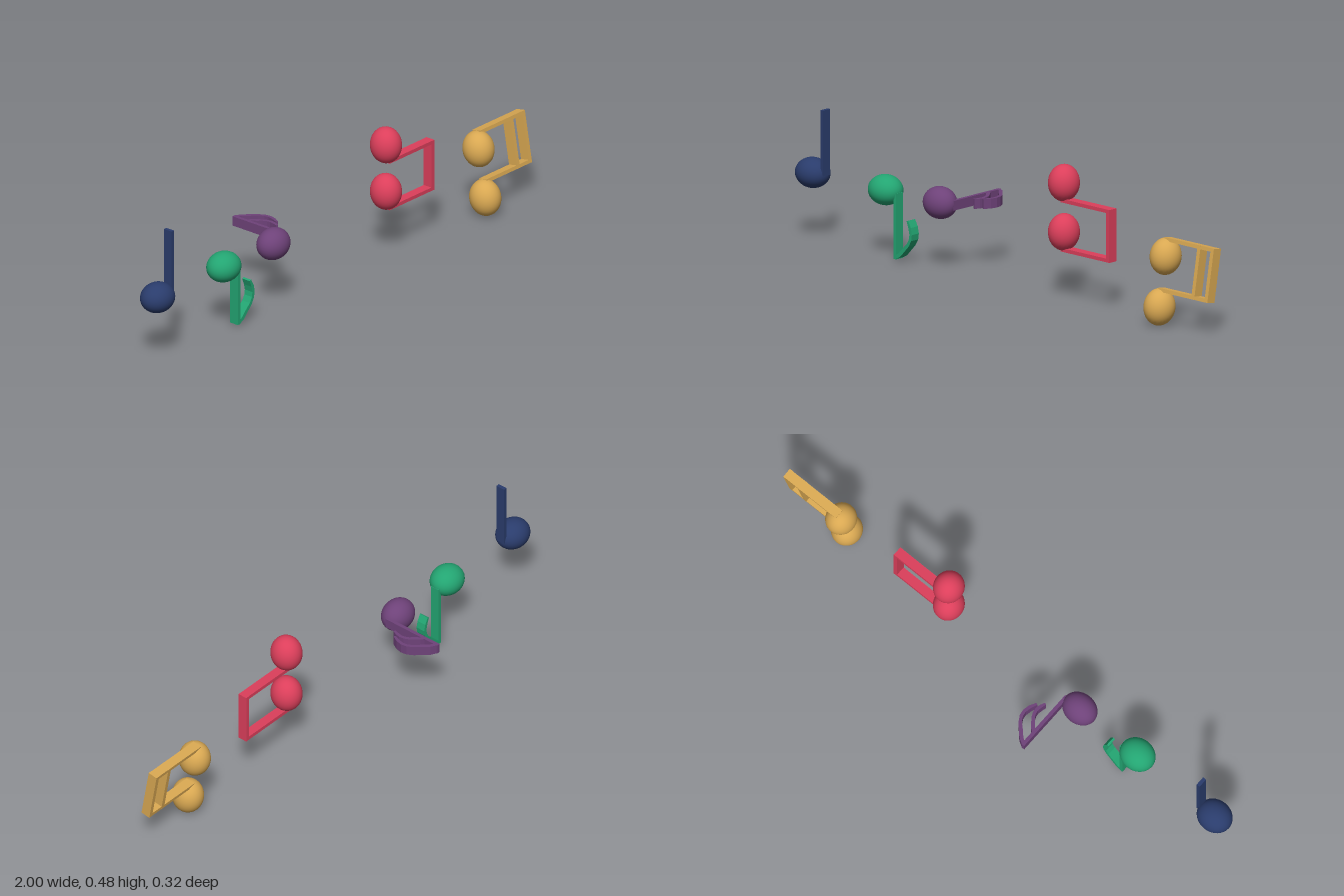
import * as THREE from 'three';

const HEAD = [0.066, 0.054, 0.0575]; // note head radii
const STEM_X = 0.0605, STEM_W = 0.013, TOP = 0.235, DEPTH = 0.035;

// flag centreline (x, y) and half width, from the stem tip to the free end
const FLAG = [
  [0.06, 0.23, 0.006], [0.082, 0.217, 0.007], [0.1, 0.198, 0.007], [0.122, 0.176, 0.006],
  [0.134, 0.155, 0.006], [0.137, 0.135, 0.006], [0.132, 0.112, 0.006], [0.121, 0.088, 0.004],
];

function add(parent, name, geometry, material, x = 0, y = 0, z = 0) {
  const mesh = new THREE.Mesh(geometry, material);
  mesh.name = name;
  mesh.position.set(x, y, z);
  parent.add(mesh);
  return mesh;
}

// head and stem, head centred on the origin of the note
function addNote(parent, material, x = 0) {
  add(parent, 'noteHead', new THREE.SphereGeometry(1, 32, 20).scale(...HEAD), material, x);
  add(parent, 'stem', new THREE.BoxGeometry(STEM_W, TOP, DEPTH), material, x + STEM_X, TOP / 2);
}

// curved ribbon hanging from the stem
function addFlag(parent, material, top, sx, sy) {
  const pts = FLAG.map(([x, y]) => new THREE.Vector2(STEM_X + (x - STEM_X) * sx, top + (y - TOP) * sy));
  const sides = [[], []];
  pts.forEach((p, i) => {
    const a = pts[Math.max(i - 1, 0)], b = pts[Math.min(i + 1, pts.length - 1)];
    const t = b.clone().sub(a).normalize();
    const n = new THREE.Vector2(-t.y, t.x).multiplyScalar(FLAG[i][2]);
    sides[0].push(p.clone().add(n));
    sides[1].push(p.clone().sub(n));
  });
  const shape = new THREE.Shape([...sides[0], ...sides[1].reverse()]);
  const geometry = new THREE.ExtrudeGeometry(shape, { depth: DEPTH, bevelEnabled: false });
  add(parent, 'flag', geometry.translate(0, 0, -DEPTH / 2), material);
}

// bar joining the stems of a pair
function addBeam(parent, material, gap, y) {
  add(parent, 'beam', new THREE.BoxGeometry(gap + STEM_W, 0.015, DEPTH + 0.001), material, STEM_X + gap / 2, y);
}

export function createModel() {
  const model = new THREE.Group();
  model.name = 'musicNotes';

  const mat = (name, color) => {
    const m = new THREE.MeshStandardMaterial({ color });
    m.name = name;
    return m;
  };
  const navy = mat('navy', 0x2a3c6c);
  const green = mat('green', 0x23a572);
  const purple = mat('purple', 0x6e4279);
  const red = mat('red', 0xdc3f5b);
  const gold = mat('gold', 0xd9a852);

  const note = (name, position, rotation) => {
    const g = new THREE.Group();
    g.name = name;
    g.position.set(...position);
    g.rotation.set(...rotation);
    model.add(g);
    return g;
  };

  // upright plain note
  const quarter = note('quarterNote', [-0.934, 0.243, 0.074], [0, 0, 0]);
  addNote(quarter, navy);

  // single flag, upside down
  const eighth = note('eighthNote', [-0.584, 0.243, 0.074], [Math.PI, 0, 0]);
  addNote(eighth, green);
  addFlag(eighth, green, TOP, 1, 1);

  // two flags, lying backwards
  const sixteenth = note('sixteenthNote', [-0.322, 0.243, 0.074], [-Math.PI / 2, 0, 0]);
  addNote(sixteenth, purple);
  addFlag(sixteenth, purple, TOP, 1, 1);
  addFlag(sixteenth, purple, 0.178, 0.62, 0.75);

  // pair with one beam, lying sideways
  const pair = note('beamedPair', [0.273, 0.419, 0.074], [0, 0, -Math.PI / 2]);
  addNote(pair, red);
  addNote(pair, red, 0.176);
  addBeam(pair, red, 0.176, TOP - 0.0075);

  // pair with two beams, lying sideways and tilted
  const tilt = THREE.MathUtils.degToRad(10);
  const doublePair = note('doubleBeamedPair', [0.762, 0.067, 0.105], [Math.PI - tilt, 0, -Math.PI / 2]);
  addNote(doublePair, gold);
  addNote(doublePair, gold, 0.178);
  addBeam(doublePair, gold, 0.178, TOP - 0.0045);
  addBeam(doublePair, gold, 0.178, 0.167);

  return model;
}
